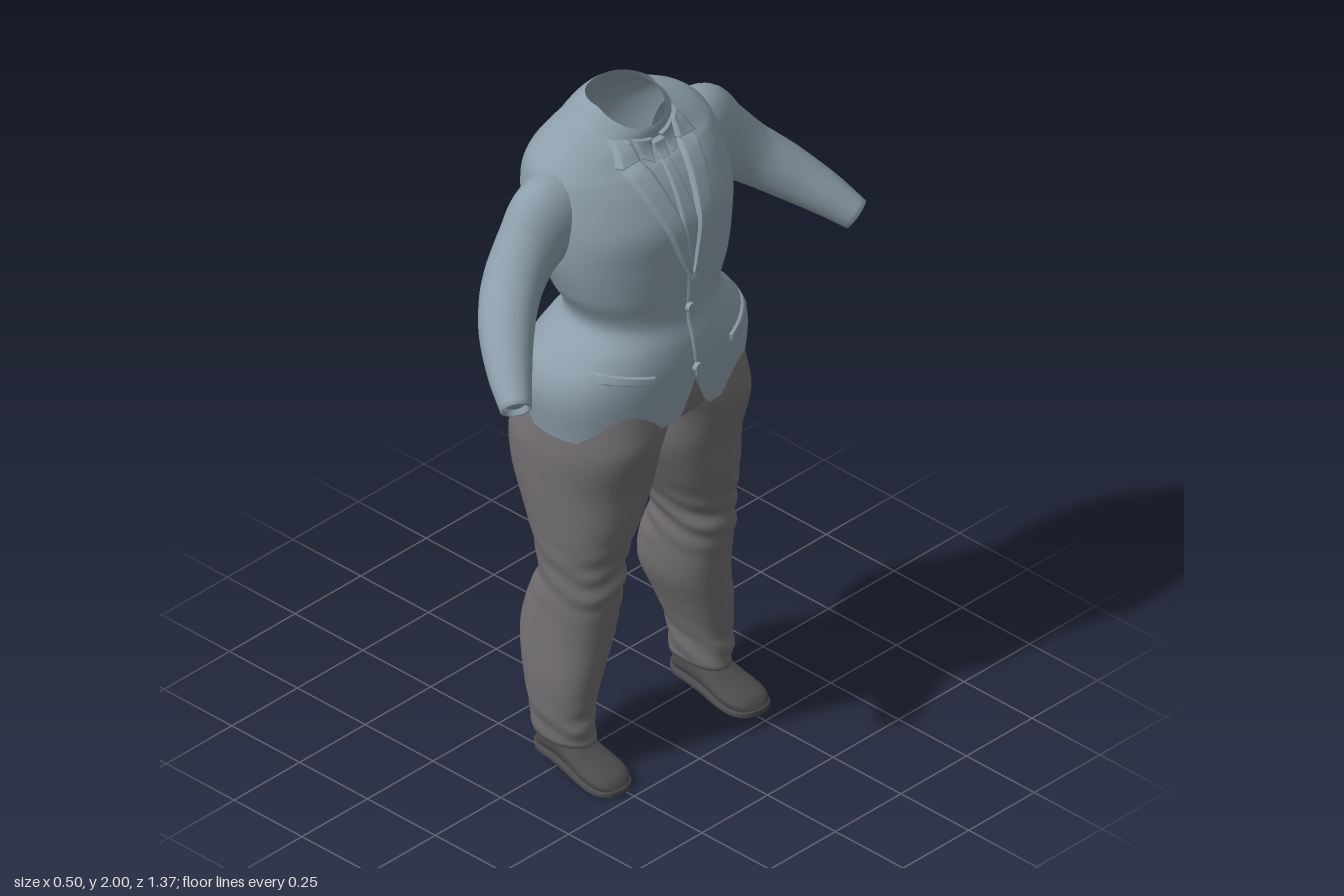
import * as THREE from 'three';

const jacketCloth = new THREE.MeshStandardMaterial({ color: 0x8d9fab, side: THREE.DoubleSide });
jacketCloth.name = 'jacketCloth';
const trouserCloth = new THREE.MeshStandardMaterial({ color: 0x726e71, side: THREE.DoubleSide });
trouserCloth.name = 'trouserCloth';
const shoeLeather = new THREE.MeshStandardMaterial({ color: 0x4c4c4f, side: THREE.DoubleSide });
shoeLeather.name = 'shoeLeather';

const N = 2.25; // roundness of body cross-sections

// Cross-section rows: [position, min a, max a, min z, max z]
const torsoRows = [
  [1.08, -0.205, 0.23, 0.325], [1.2, -0.22, 0.237, 0.345], [1.27, -0.212, 0.238, 0.33],
  [1.33, -0.18, 0.23, 0.285], [1.4, -0.142, 0.212, 0.225], [1.5, -0.165, 0.215, 0.265],
  [1.6, -0.22, 0.217, 0.295], [1.7, -0.247, 0.212, 0.305], [1.8, -0.248, 0.165, 0.3],
  [1.86, -0.225, 0.12, 0.285], [1.9, -0.2, 0.095, 0.245], [1.93, -0.18, 0.085, 0.185],
  [1.95, -0.165, 0.083, 0.135], [2.0, -0.13, 0.08, 0.1],
].map(([y, a, b, z]) => [y, a, b, -z, z]);

const legRows = [
  [0.095, -0.095, 0.1, 0.2, 0.32], [0.2, -0.105, 0.095, 0.19, 0.335], [0.3, -0.135, 0.105, 0.16, 0.335],
  [0.4, -0.16, 0.115, 0.125, 0.322], [0.5, -0.142, 0.13, 0.117, 0.312], [0.6, -0.102, 0.143, 0.115, 0.31],
  [0.64, -0.108, 0.138, 0.108, 0.313], [0.7, -0.125, 0.15, 0.09, 0.318], [0.8, -0.178, 0.172, 0.045, 0.322],
  [0.9, -0.225, 0.187, 0.008, 0.325], [1.0, -0.235, 0.215, 0.01, 0.327], [1.05, -0.222, 0.226, 0.004, 0.322],
  [1.1, -0.2, 0.222, -0.02, 0.315], [1.2, -0.18, 0.2, -0.02, 0.3],
];
const pelvisRows = [[1.03, -0.08, 0.1, -0.1, 0.1], [1.07, -0.17, 0.19, -0.25, 0.25],
  [1.12, -0.19, 0.215, -0.3, 0.3], [1.22, -0.19, 0.215, -0.3, 0.3], [1.3, -0.12, 0.15, -0.2, 0.2]];
const shoeRows = [
  [-0.08, 0.045, 0.07, 0.235, 0.285], [-0.06, 0.035, 0.1, 0.215, 0.3], [0, 0.028, 0.118, 0.21, 0.305],
  [0.06, 0.022, 0.102, 0.205, 0.315], [0.12, 0.014, 0.074, 0.197, 0.325], [0.17, 0.007, 0.058, 0.2, 0.325],
  [0.205, 0.005, 0.043, 0.22, 0.31], [0.22, 0.006, 0.02, 0.25, 0.285],
];

// Smooth interpolation of the rows at one position
function sample(rows, p) {
  let i = 0;
  while (i < rows.length - 2 && p > rows[i + 1][0]) i++;
  const r0 = rows[i], r1 = rows[i + 1], d = r1[0] - r0[0];
  const t = Math.min(1, Math.max(0, (p - r0[0]) / d));
  const slope = (k, c) => {
    const a = rows[Math.max(0, k - 1)], b = rows[Math.min(rows.length - 1, k + 1)];
    return (b[c] - a[c]) / (b[0] - a[0]);
  };
  return [1, 2, 3, 4].map((c) => {
    const t2 = t * t, t3 = t2 * t;
    return (2 * t3 - 3 * t2 + 1) * r0[c] + (t3 - 2 * t2 + t) * d * slope(i, c)
      + (3 * t2 - 2 * t3) * r1[c] + (t3 - t2) * d * slope(i + 1, c);
  });
}

// Surface from a rule point(u, v); v may wrap around
function grid(point, nu, nv, wrap, flip = false) {
  const pos = [], idx = [], w = wrap ? nv : nv + 1;
  for (let i = 0; i <= nu; i++) for (let j = 0; j < w; j++) pos.push(...point(i / nu, j / nv));
  for (let i = 0; i < nu; i++) for (let j = 0; j < nv; j++) {
    const a = i * w + j, b = a + w, c = i * w + (j + 1) % w, d = c + w;
    idx.push(...(flip ? [a, c, b, b, c, d] : [a, b, c, b, d, c]));
  }
  const g = new THREE.BufferGeometry();
  g.setAttribute('position', new THREE.Float32BufferAttribute(pos, 3));
  g.setIndex(idx);
  g.computeVertexNormals();
  return g;
}

const power = (c, n) => Math.sign(c) * Math.abs(c) ** (2 / n);

// Body through rows stacked along y, or along x; cap closes both ends
function loft(rows, { nu = 60, nv = 48, n = N, alongX = false, cap = false, warp = (p) => p } = {}) {
  const p0 = rows[0][0], p1 = rows.at(-1)[0];
  return grid((u, v) => {
    const k = cap && (u === 0 || u === 1) ? 0 : 1;
    const p = p0 + (p1 - p0) * (cap ? Math.min(1, Math.max(0, (u * nu - 1) / (nu - 2))) : u);
    const [a0, a1, z0, z1] = sample(rows, p), th = v * Math.PI * 2;
    const a = (a0 + a1) / 2 + k * (a1 - a0) / 2 * power(Math.cos(th), n);
    const z = (z0 + z1) / 2 + k * (z1 - z0) / 2 * power(Math.sin(th), n);
    return alongX ? [p, a, z] : warp([a, p, z]);
  }, nu, nv, true, alongX);
}

// Neckline dips at the front
function neckDip([x, y, z]) {
  const t = Math.min(1, Math.max(0, (y - 1.85) / 0.15));
  return [x, y - t * Math.max(0, x + 0.03) * 0.5, z];
}

// Curved hem and cutaway between the jacket fronts
function hem([x, y, z]) {
  const k = Math.max(0, (1.2 - y) / 0.12);
  y += k * 0.025 * (1 - Math.min(1, Math.abs(z) / 0.3));
  if (x > 0 && y < 1.21) y = Math.max(y, 1.21 - Math.abs(z) * 2.2);
  return neckDip([x, y, z]);
}

// Raised strip lying on the torso between two edges of [z, y] points
function patch(edgeA, edgeB, lift, side = 1) {
  const along = (e, t) => {
    const s = t * (e.length - 1), i = Math.min(e.length - 2, Math.floor(s)), f = s - i;
    return [e[i][0] + (e[i + 1][0] - e[i][0]) * f, e[i][1] + (e[i + 1][1] - e[i][1]) * f];
  };
  return grid((u, v) => {
    const a = along(edgeA, u), b = along(edgeB, u);
    const z = a[0] + (b[0] - a[0]) * v, y = a[1] + (b[1] - a[1]) * v;
    const [x0, x1, , zh] = sample(torsoRows, y);
    const f = Math.max(0, 1 - Math.abs(z / zh) ** N) ** (1 / N);
    const rim = v === 0 || v === 1 || u === 0 || u === 1;
    const p = neckDip([(x0 + x1) / 2 + side * (x1 - x0) / 2 * f, y, z]);
    p[0] += side * (rim ? 0.001 : lift);
    return p;
  }, 24, 10, false);
}

// Sleeve with a turned-in cuff: [x, y, z, horizontal radius, vertical radius]
function sleeve() {
  const st = [[-0.03, 1.765, 0.2, 0.085, 0.11], [-0.033, 1.735, 0.28, 0.09, 0.135], [-0.033, 1.675, 0.36, 0.084, 0.108],
    [-0.008, 1.6, 0.45, 0.082, 0.085], [0.05, 1.53, 0.53, 0.075, 0.075], [0.13, 1.46, 0.6, 0.06, 0.06],
    [0.2, 1.402, 0.648, 0.043, 0.046]];
  const path = new THREE.CatmullRomCurve3(st.map((s) => new THREE.Vector3(s[0], s[1], s[2])));
  const radii = new THREE.CatmullRomCurve3(st.map((s) => new THREE.Vector3(s[3], s[4], 0)));
  const up = new THREE.Vector3(0, 1, 0), n = 40;
  return grid((u, v) => {
    const i = Math.round(u * (n + 4)), t = Math.min(1, i / n);
    const c = path.getPoint(t), r = radii.getPoint(t), d = path.getTangent(t);
    const k = [1, 0.8, 0.74, 0.55, 0][Math.max(0, i - n)];
    if (i > n + 1) c.addScaledVector(d, i === n + 2 ? -0.03 : -0.012);
    const h = d.clone().cross(up).normalize(), w = h.clone().cross(d), a = v * Math.PI * 2;
    return c.addScaledVector(h, Math.cos(a) * r.x * k).addScaledVector(w, Math.sin(a) * r.y * k).toArray();
  }, n + 4, 32, true);
}

export function createModel() {
  const model = new THREE.Group();
  model.name = 'suit';
  const add = (parent, name, geo, mat) => {
    const m = new THREE.Mesh(geo, mat);
    m.name = name;
    parent.add(m);
    return m;
  };

  // Jacket body and standing collar
  add(model, 'jacket', loft(torsoRows, { nu: 110, nv: 128, warp: hem }), jacketCloth);
  const collarRows = [[1.925, -0.19, 0.085, -0.165, 0.165], [1.955, -0.172, 0.085, -0.135, 0.135],
    [1.985, -0.148, 0.084, -0.112, 0.112], [2, -0.13, 0.08, -0.1, 0.1]];
  add(model, 'collar', loft(collarRows, { nu: 12, warp: neckDip }), jacketCloth);

  // Tie, front overlap, back vent
  add(model, 'tieKnot', patch([[-0.026, 1.94], [-0.016, 1.87]], [[0.026, 1.94], [0.016, 1.87]], 0.018), jacketCloth);
  add(model, 'tie', patch([[-0.014, 1.875], [-0.03, 1.7], [0, 1.54]], [[0.014, 1.875], [0.03, 1.7], [0, 1.54]], 0.008), jacketCloth);
  add(model, 'frontOverlap', patch([[-0.03, 1.53], [-0.03, 1.3], [-0.004, 1.215]], [[0.012, 1.53], [0.012, 1.3], [0.004, 1.215]], 0.006), jacketCloth);
  add(model, 'backVent', patch([[-0.008, 1.115], [-0.001, 1.26]], [[0.008, 1.115], [0.001, 1.26]], 0.003, -1), trouserCloth);

  // Front buttons
  for (const y of [1.43, 1.25]) {
    const b = add(model, 'frontButton', new THREE.CylinderGeometry(0.013, 0.015, 0.012, 16), jacketCloth);
    b.rotation.z = -Math.PI / 2;
    b.position.set(sample(torsoRows, y)[1] + 0.009, y, 0.004);
  }

  // Seat of the trousers
  add(model, 'trouserSeat', loft(pelvisRows, { nu: 24, cap: true }), trouserCloth);

  // Paired parts, mirrored
  for (const s of [1, -1]) {
    const half = new THREE.Group();
    half.name = s > 0 ? 'leftSide' : 'rightSide';
    half.scale.z = s;
    model.add(half);

    add(half, 'sleeve', sleeve(), jacketCloth);
    for (let i = 0; i < 3; i++) {
      const b = add(half, 'cuffButton', new THREE.SphereGeometry(0.009, 10, 8), jacketCloth);
      b.position.set(0.165 - i * 0.025, 1.392 + i * 0.018, 0.655 - i * 0.018);
    }
    add(half, 'lapel', patch([[0.07, 1.9], [0.05, 1.82], [0.033, 1.74], [0.016, 1.63], [0, 1.53]],
      [[0.14, 1.87], [0.118, 1.79], [0.085, 1.7], [0.05, 1.61], [0, 1.51]], 0.014), jacketCloth);
    add(half, 'lapelCollar', patch([[0.078, 1.96], [0.068, 1.9]], [[0.122, 1.95], [0.148, 1.885]], 0.017), jacketCloth);
    add(half, 'shirtCollar', patch([[0.012, 1.955], [0.035, 1.865]], [[0.075, 1.965], [0.062, 1.89]], 0.012), jacketCloth);
    add(half, 'pocketFlap', patch([[0.14, 1.25], [0.28, 1.28]], [[0.14, 1.275], [0.28, 1.31]], 0.009), jacketCloth);

    // Trouser leg with soft folds at knee and ankle
    const folds = ([x, y, z]) => {
      const k = 0.004 * (Math.exp(-(((y - 0.62) / 0.09) ** 2)) + Math.exp(-(((y - 0.15) / 0.07) ** 2)));
      return [x + k * Math.sin(y * 90 + z * 25), y, z + k * Math.sin(y * 75 + x * 30)];
    };
    add(half, 'trouserLeg', loft(legRows, { nu: 90, cap: true, warp: folds }), trouserCloth);

    // Shoe, sole and heel
    add(half, 'shoe', loft(shoeRows, { alongX: true, cap: true, nu: 36, nv: 32 }), shoeLeather);
    const soleRows = shoeRows.map(([x, y0, , z0, z1]) => [x * 1.01, y0 - 0.005, y0 + 0.015, z0 - 0.005, z1 + 0.005]);
    add(half, 'sole', loft(soleRows, { alongX: true, cap: true, nu: 36, nv: 32, n: 5 }), shoeLeather);
    const heel = add(half, 'heel', new THREE.CylinderGeometry(0.043, 0.041, 0.022, 24), shoeLeather);
    heel.position.set(-0.033, 0.033, 0.258);
  }
  return model;
}
